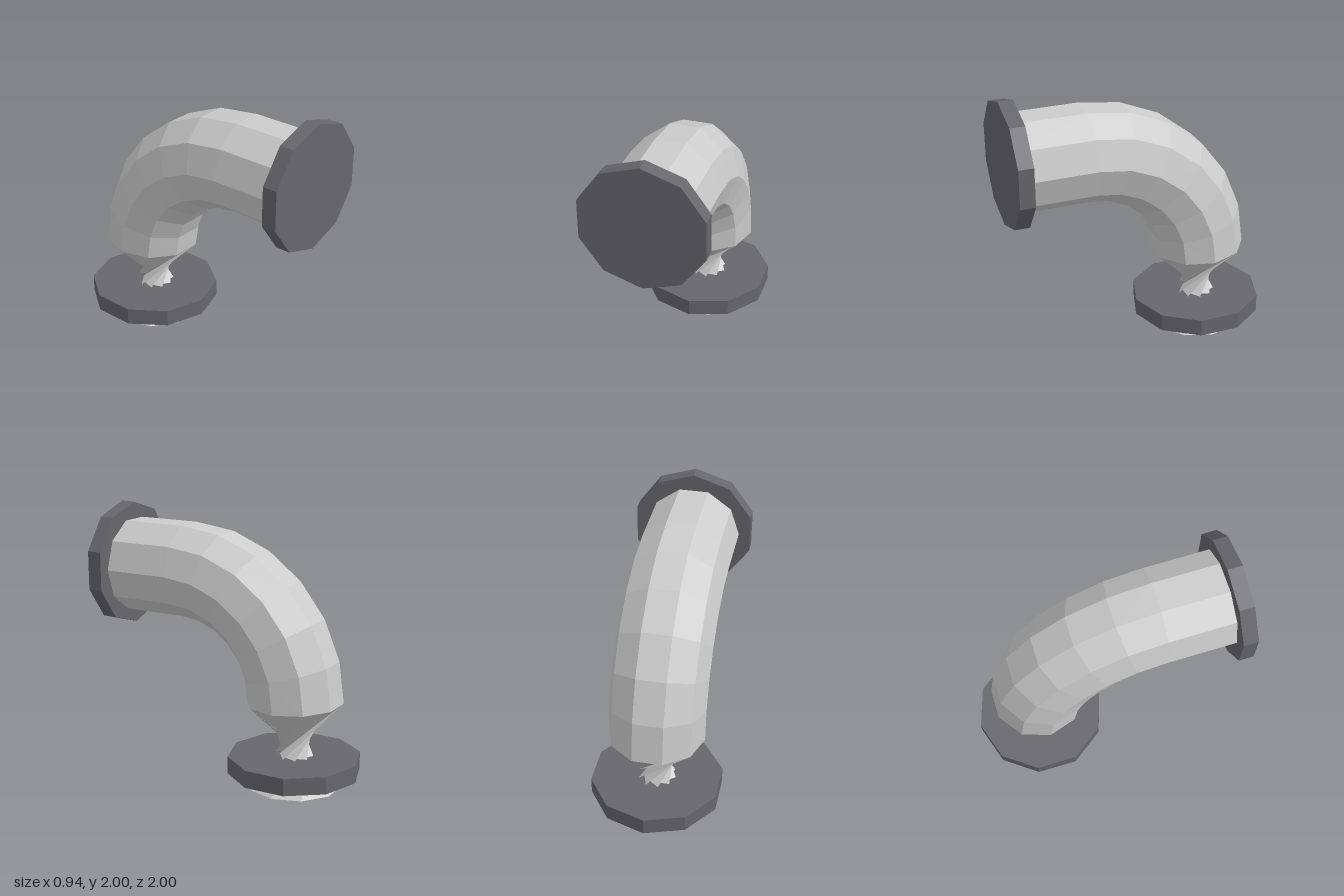
import * as THREE from 'three';

const SIDES = 10;
const TUBE_R = 0.357;
const BEND_R = 0.9;
const BEND = { y: 0.63, z: 0.4 }; // centre of the elbow arc

// Decagonal ring round (0, y, z); `tilt` leans it about x, `turn` shifts the start angle
function ring(y, z, tilt, turn = 0) {
  const points = [];
  for (let i = 0; i < SIDES; i++) {
    const a = (i / SIDES) * Math.PI * 2 + turn;
    const s = Math.sin(a) * TUBE_R;
    points.push([Math.cos(a) * TUBE_R, y - s * Math.sin(tilt), z + s * Math.cos(tilt)]);
  }
  return points;
}

// Skin between successive rings, with a fan closing each end
function loft(rings) {
  const index = [];
  const n = rings.length;
  for (let r = 0; r < n - 1; r++) {
    for (let i = 0; i < SIDES; i++) {
      const j = (i + 1) % SIDES;
      const a = r * SIDES + i, b = r * SIDES + j;
      const c = a + SIDES, d = b + SIDES;
      index.push(a, b, c, b, d, c);
    }
  }
  const last = (n - 1) * SIDES;
  for (let i = 1; i < SIDES - 1; i++) {
    index.push(0, i + 1, i);
    index.push(last, last + i, last + i + 1);
  }
  const geometry = new THREE.BufferGeometry();
  geometry.setAttribute('position', new THREE.Float32BufferAttribute(rings.flat(2), 3));
  geometry.setIndex(index);
  const flat = geometry.toNonIndexed();
  flat.computeVertexNormals();
  return flat;
}

export function createModel() {
  const group = new THREE.Group();
  const pipeMaterial = new THREE.MeshStandardMaterial({
    color: 0xcccccc, flatShading: true, side: THREE.DoubleSide,
  });
  const flangeMaterial = new THREE.MeshStandardMaterial({ color: 0x66666c, flatShading: true });

  // Pipe: straight outlet, quarter bend in six steps, then a half-turn twist to the base
  const rings = [ring(BEND.y + BEND_R, 0.95, Math.PI / 2)];
  for (let k = 0; k <= 6; k++) {
    const a = (k / 6) * Math.PI / 2;
    const tilt = k === 6 ? 0.036 : Math.PI / 2 - a;
    rings.push(ring(BEND.y + BEND_R * Math.cos(a), BEND.z - BEND_R * Math.sin(a), tilt));
  }
  rings.push(ring(0, BEND.z - BEND_R, 0, Math.PI));
  const pipe = new THREE.Mesh(loft(rings), pipeMaterial);
  pipe.name = 'pipe';
  group.add(pipe);

  // Flange discs
  const addFlange = (name, radius, thickness, y, z, tilt) => {
    const mesh = new THREE.Mesh(
      new THREE.CylinderGeometry(radius, radius, thickness, SIDES), flangeMaterial);
    mesh.name = name;
    mesh.position.set(0, y, z);
    mesh.rotation.x = tilt;
    group.add(mesh);
  };
  addFlange('outletFlange', 0.466, 0.11, 1.534, 0.945, Math.PI / 2);
  addFlange('baseFlange', 0.495, 0.13, 0.16, -0.5, 0);

  return group;
}
